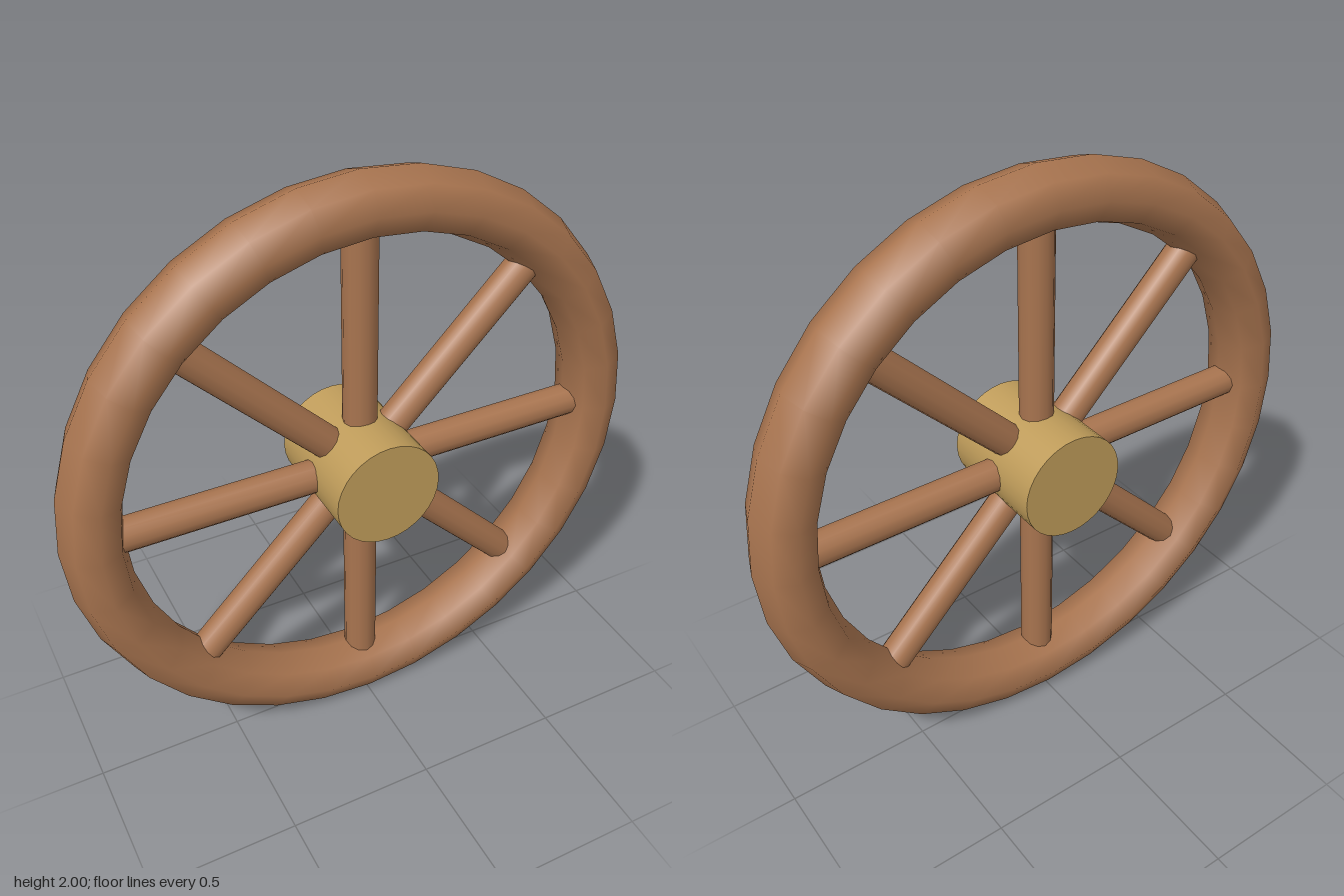
import * as THREE from 'three';

export function createModel() {
  const wood = new THREE.MeshStandardMaterial({ name: 'wood', color: 0xa8744f });
  const brass = new THREE.MeshStandardMaterial({ name: 'brass', color: 0xbf9c5a });

  const model = new THREE.Group();
  model.name = 'spokedWheel';

  const add = (name, geometry, material) => {
    const mesh = new THREE.Mesh(geometry, material);
    mesh.name = name;
    mesh.position.y = 1;
    model.add(mesh);
    return mesh;
  };

  // Rim: a ring slightly wider along the axle than it is deep
  const rimGeometry = new THREE.TorusGeometry(0.9, 0.1, 8, 32);
  rimGeometry.scale(1, 1, 1.18);
  add('rim', rimGeometry, wood);

  // Hub along the axle
  const hubGeometry = new THREE.CylinderGeometry(0.18, 0.18, 0.4, 32);
  hubGeometry.rotateX(Math.PI / 2);
  add('hub', hubGeometry, brass);

  // Eight spokes from inside the hub into the rim
  const spokeGeometry = new THREE.CylinderGeometry(0.056, 0.056, 0.8, 12);
  spokeGeometry.translate(0, 0.5, 0);
  for (let i = 0; i < 8; i++) {
    add(`spoke${i + 1}`, spokeGeometry, wood).rotation.z = (i * Math.PI) / 4;
  }

  return model;
}
